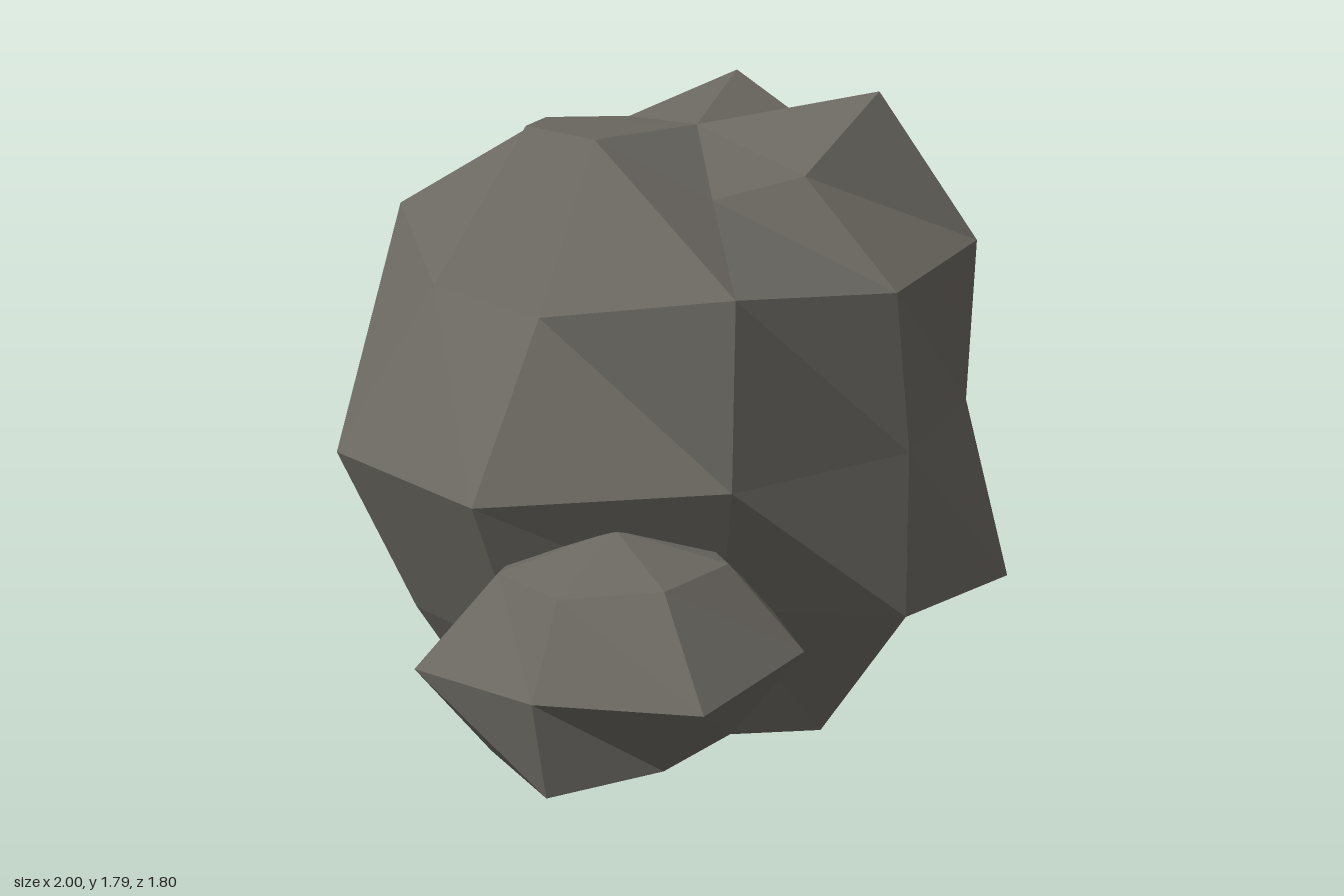
import * as THREE from 'three';

// Faceted boulder: a latitude/longitude ball whose vertices are pushed in and out.
// rings: radii per ring from top to bottom; each ring starts at +x and turns towards +z.
function boulder(name, material, centre, scale, topR, rings, bottomR) {
  const segs = rings[0].length;
  const rows = [Array(segs).fill(topR), ...rings, Array(segs).fill(bottomR)];
  const last = rows.length - 1;
  const point = (row, i) => {
    const k = i % segs;
    const phi = (row / last) * Math.PI;
    const theta = (k / segs) * Math.PI * 2;
    const r = rows[row][k];
    return [
      centre[0] + scale[0] * r * Math.sin(phi) * Math.cos(theta),
      centre[1] + scale[1] * r * Math.cos(phi),
      centre[2] + scale[2] * r * Math.sin(phi) * Math.sin(theta),
    ];
  };
  const positions = [];
  for (let row = 0; row < last; row++) {
    for (let i = 0; i < segs; i++) {
      const a = point(row, i), b = point(row, i + 1);
      const c = point(row + 1, i), d = point(row + 1, i + 1);
      if (row > 0) positions.push(...a, ...b, ...c);
      if (row < last - 1) positions.push(...b, ...d, ...c);
    }
  }
  const geometry = new THREE.BufferGeometry();
  geometry.setAttribute('position', new THREE.Float32BufferAttribute(positions, 3));
  geometry.computeVertexNormals();
  const mesh = new THREE.Mesh(geometry, material);
  mesh.name = name;
  return mesh;
}

export function createModel() {
  const group = new THREE.Group();
  group.name = 'rockCluster';

  const stone = new THREE.MeshStandardMaterial({ color: 0x6b6861, flatShading: true });
  stone.name = 'stone';

  // Main rock
  group.add(boulder('mainRock', stone, [0.11, 0.935, 0], [1, 0.951, 0.834], 0.82, [
    [0.88, 1.044, 0.825, 0.78, 0.98, 0.98, 0.95, 0.91, 1.044],
    [0.943, 0.95, 0.87, 1.03, 0.855, 0.87, 1.11, 0.91, 0.83],
    [0.887, 0.81, 0.815, 0.855, 1.033, 1.033, 0.81, 1.105, 0.955],
    [0.91, 1.11, 0.95, 0.77, 0.96, 0.96, 0.79, 0.79, 1.1],
    [0.975, 0.84, 1.03, 0.96, 1.11, 1.11, 0.98, 0.97, 1.02],
  ], 0.983));

  // Small rock at the front
  group.add(boulder('frontRock', stone, [-0.53, 0.543, 0.43], [1, 0.73, 0.855], 0.41, [
    [0.4, 0.43, 0.45, 0.42, 0.43, 0.42, 0.42],
    [0.493, 0.51, 0.56, 0.427, 0.522, 0.48, 0.48],
    [0.6, 0.445, 0.445, 0.515, 0.47, 0.46, 0.46],
  ], 0.46));

  // Small rock at the back
  group.add(boulder('backRock', stone, [0.64, 0.505, -0.5], [1, 0.73, 0.85], 0.39, [
    [0.368, 0.4, 0.4, 0.4, 0.4, 0.38, 0.39],
    [0.343, 0.445, 0.4, 0.4, 0.45, 0.345, 0.445],
    [0.455, 0.41, 0.4, 0.4, 0.4, 0.4, 0.41],
  ], 0.325));

  return group;
}
